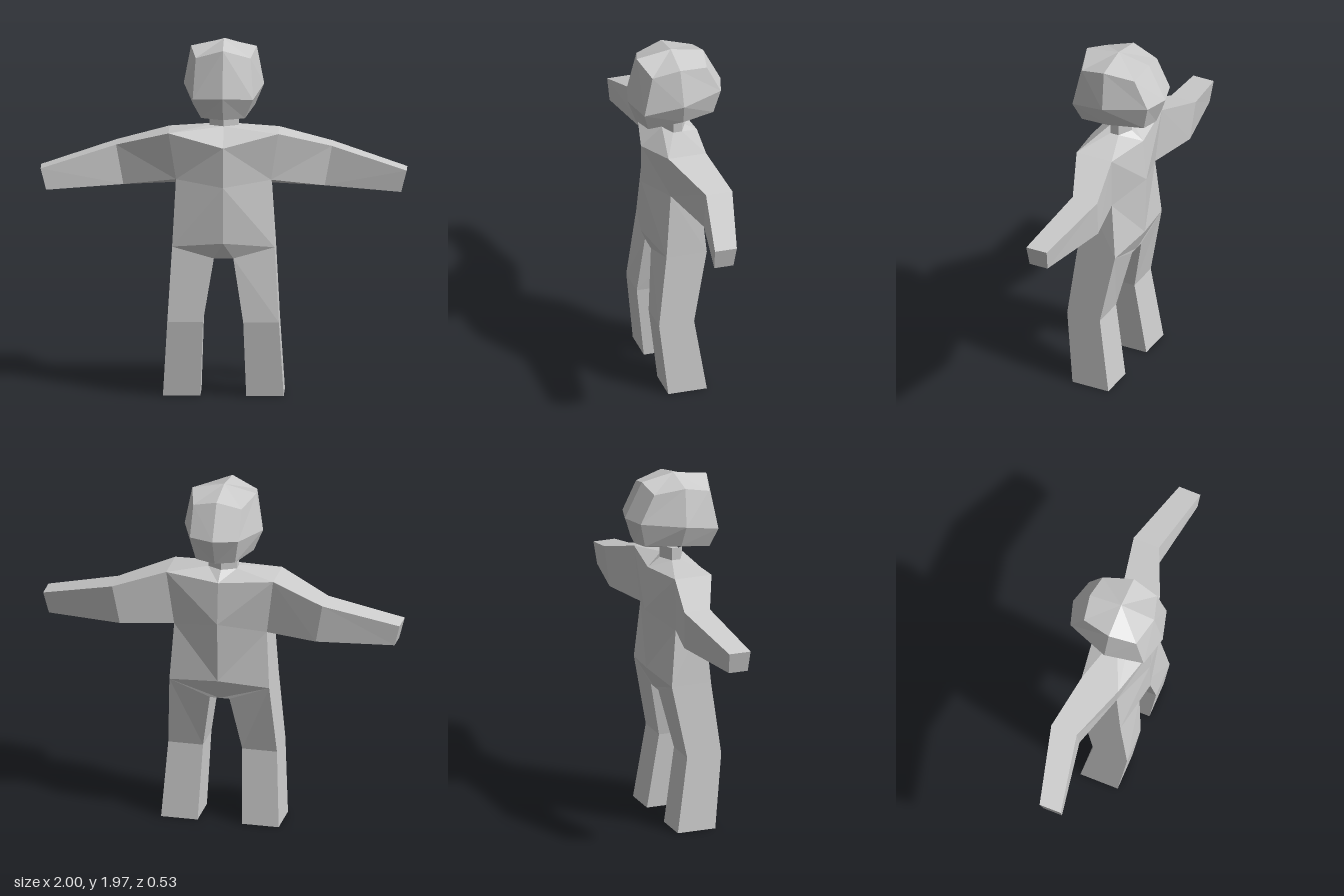
import * as THREE from 'three';

// Skins a list of cross-sections (ordered counterclockwise seen from the first one).
// side = -1 mirrors the result across x; caps are optional centre points.
function loft(rings, { side = 1, closed = false, start, end } = {}) {
  const out = [];
  const tri = (a, b, c) => {
    for (const p of side > 0 ? [a, b, c] : [a, c, b]) out.push(p[0] * side, p[1], p[2]);
  };
  const n = rings[0].length;
  const spans = closed ? n : n - 1;
  const last = rings[rings.length - 1];
  for (let i = 0; i < spans; i++) {
    const j = (i + 1) % n;
    for (let k = 0; k < rings.length - 1; k++) {
      const up = rings[k], low = rings[k + 1];
      tri(up[i], low[i], low[j]);
      tri(up[i], low[j], up[j]);
    }
    if (start) tri(start, rings[0][i], rings[0][j]);
    if (end) tri(end, last[j], last[i]);
  }
  return out;
}

function makeMesh(name, positions, material) {
  const geometry = new THREE.BufferGeometry();
  geometry.setAttribute('position', new THREE.Float32BufferAttribute(positions, 3));
  geometry.computeVertexNormals();
  const mesh = new THREE.Mesh(geometry, material);
  mesh.name = name;
  return mesh;
}

export function createModel() {
  const model = new THREE.Group();
  model.name = 'figure';
  const grey = new THREE.MeshStandardMaterial({ color: 0xcccccc });
  grey.name = 'plain grey';
  grey.flatShading = true;

  // Half sections run from front centre around the +x side to back centre
  const symmetric = (name, rings, caps = {}) =>
    model.add(makeMesh(name, [...loft(rings, caps), ...loft(rings, { ...caps, side: -1 })], grey));

  // Head: faceted block, wider at the cheeks
  symmetric('head', [
    [[0, 1.94, 0.215], [0.15, 1.89, 0.17], [0.18, 1.93, 0.02], [0.135, 1.9, -0.145], [0, 1.935, -0.165]],
    [[0, 1.68, 0.265], [0.165, 1.67, 0.22], [0.22, 1.72, 0.01], [0.135, 1.74, -0.225], [0, 1.74, -0.265]],
    [[0, 1.555, 0.22], [0.12, 1.56, 0.185], [0.17, 1.6, 0], [0.11, 1.6, -0.19], [0, 1.59, -0.21]],
  ], { start: [0, 1.97, 0.02], end: [0, 1.54, 0] });

  // Neck: short six-sided column
  const neckRing = (y) => [[0, y, 0.07], [0.08, y, 0.03], [0.08, y, -0.02], [0, y, -0.06]];
  symmetric('neck', [neckRing(1.56), neckRing(1.49)]);

  // Torso: neck base, shoulders, armpits, hips, crotch
  const shoulderFront = [0.3, 1.46, 0.125], shoulderBack = [0.3, 1.46, -0.09];
  const armpitFront = [0.26, 1.2, 0.1], armpitBack = [0.26, 1.15, -0.07];
  const hipFront = [0.28, 0.83, 0.13], hipBack = [0.28, 0.83, -0.1];
  const crotchFront = [0.055, 0.77, 0.15], crotchBack = [0.055, 0.74, -0.09];
  symmetric('torso', [
    neckRing(1.49),
    [[0, 1.39, 0.19], shoulderFront, shoulderBack, [0, 1.44, -0.13]],
    [[0, 1.17, 0.19], armpitFront, armpitBack, [0, 1.2, -0.15]],
    [[0, 0.86, 0.19], hipFront, hipBack, [0, 0.86, -0.14]],
    [[0, 0.77, 0.15], crotchFront, crotchBack, [0, 0.74, -0.09]],
  ], { end: [0, 0.755, 0.03] });

  // Arms: shoulder, elbow, wrist
  const armRings = [
    [armpitBack, armpitFront, shoulderFront, shoulderBack],
    [[0.55, 1.15, -0.135], [0.55, 1.15, 0], [0.59, 1.37, 0], [0.59, 1.37, -0.15]],
    [[0.97, 1.13, -0.04], [0.97, 1.13, 0.07], [1, 1.25, 0.075], [1, 1.25, -0.05]],
  ];
  // Legs: hip, knee, foot
  const legRings = [
    [crotchFront, hipFront, hipBack, crotchBack],
    [[0.11, 0.42, 0.18], [0.305, 0.42, 0.18], [0.305, 0.42, -0.02], [0.11, 0.42, -0.02]],
    [[0.125, 0, 0.135], [0.33, 0, 0.135], [0.33, 0, -0.085], [0.125, 0, -0.085]],
  ];
  for (const [label, side] of [['left', 1], ['right', -1]]) {
    model.add(makeMesh(label + 'Arm',
      loft(armRings, { side, closed: true, end: [0.985, 1.19, 0.014] }), grey));
    model.add(makeMesh(label + 'Leg',
      loft(legRings, { side, closed: true, end: [0.2275, 0, 0.025] }), grey));
  }
  return model;
}
